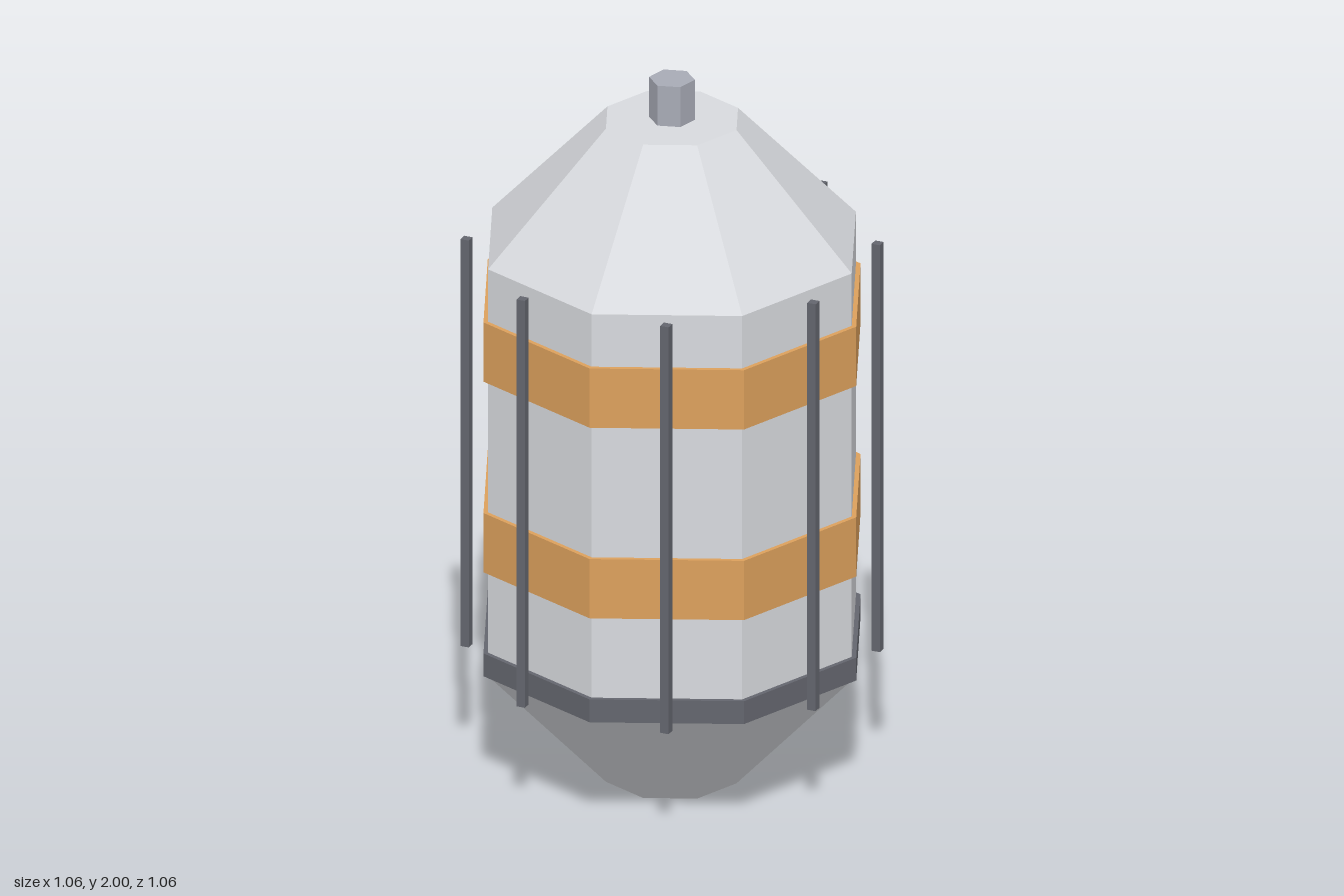
import * as THREE from 'three';

export function createModel() {
  const model = new THREE.Group();
  model.name = 'tank';

  const material = (name, color) => {
    const m = new THREE.MeshStandardMaterial({ color, flatShading: true });
    m.name = name;
    return m;
  };
  const shell = material('light grey shell', 0xd8dade);
  const band = material('orange band', 0xdca05c);
  const dark = material('dark metal', 0x64666e);
  const metal = material('nozzle metal', 0xa8abb6);

  // Upright prism or frustum between two heights
  const prism = (name, mat, y0, y1, rBottom, rTop, sides, x = 0, z = 0) => {
    const geometry = new THREE.CylinderGeometry(rTop, rBottom, y1 - y0, sides);
    const mesh = new THREE.Mesh(geometry, mat);
    mesh.name = name;
    mesh.position.set(x, (y0 + y1) / 2, z);
    model.add(mesh);
  };

  // Octagonal shell: lower cone, body, upper cone
  prism('lowerCone', shell, 0, 0.358, 0.186, 0.518, 8);
  prism('body', shell, 0.358, 1.532, 0.518, 0.518, 8);
  prism('upperCone', shell, 1.532, 1.885, 0.518, 0.186, 8);

  // Hexagonal nozzle on top
  prism('nozzle', metal, 1.885, 2, 0.061, 0.061, 6);

  // Bands around the body
  prism('baseRing', dark, 0.36, 0.426, 0.531, 0.531, 8);
  prism('lowerBand', band, 0.66, 0.831, 0.531, 0.531, 8);
  prism('upperBand', band, 1.21, 1.381, 0.531, 0.531, 8);

  // Eight rods, one in front of each face
  for (let i = 0; i < 8; i++) {
    const a = (i + 0.5) * Math.PI / 4;
    prism('rod' + (i + 1), dark, 0.358, 1.532, 0.017, 0.017, 4,
      0.541 * Math.sin(a), 0.541 * Math.cos(a));
  }
  return model;
}
